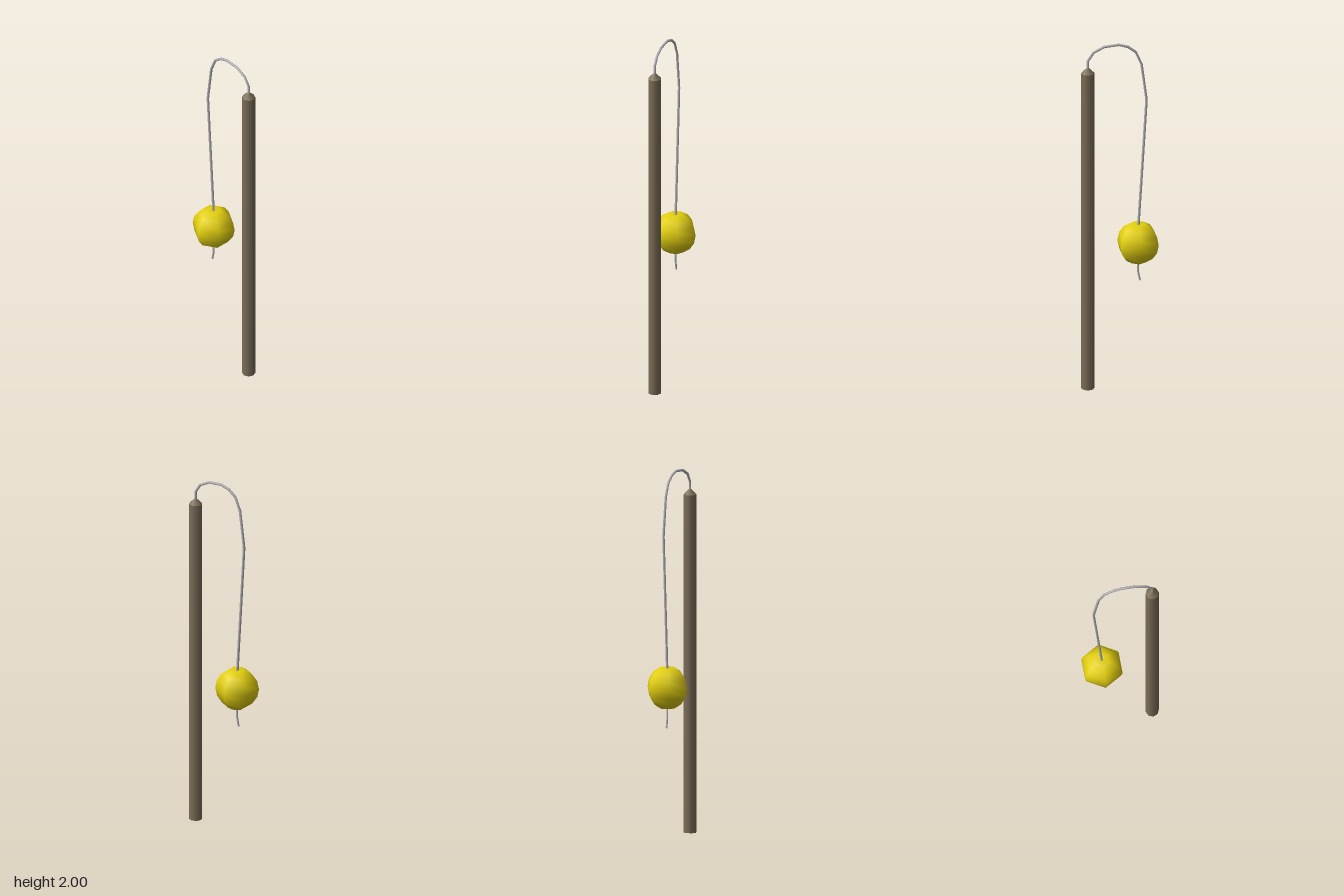
import * as THREE from 'three';

const material = (name, color) => new THREE.MeshStandardMaterial({ name, color });

// Curve through points with straight spans, one tube ring per point
class Polyline extends THREE.Curve {
  constructor(points) {
    super();
    this.points = points.map(([x, y]) => new THREE.Vector3(x, y, 0));
  }
  getPoint(t, target = new THREE.Vector3()) {
    const s = t * (this.points.length - 1);
    const i = Math.min(Math.floor(s), this.points.length - 2);
    return target.lerpVectors(this.points[i], this.points[i + 1], s - i);
  }
  getUtoTmapping(u) {
    return u;
  }
}

export function createModel() {
  const model = new THREE.Group();
  model.name = 'tetherball';

  const wood = material('post brown', 0x7b6d57);
  const yellow = material('ball yellow', 0xe3d00e);
  const grey = material('rope grey', 0xb4b4b8);
  grey.side = THREE.DoubleSide;

  const add = (name, geometry, mat, x = 0, y = 0) => {
    const mesh = new THREE.Mesh(geometry, mat);
    mesh.name = name;
    mesh.position.set(x, y, 0);
    model.add(mesh);
  };

  // Eight-sided post with a pointed top
  const postX = 0.17, postR = 0.036, postH = 1.84;
  add('post', new THREE.CylinderGeometry(postR, postR, postH, 8), wood, postX, postH / 2);
  add('postTip', new THREE.CylinderGeometry(0.006, postR, 0.03, 8), wood, postX, postH + 0.015);

  // Six-sided ball with flattened, slightly dimpled poles
  const ballX = -0.104, ballY = 0.829, ballR = 0.118;
  const profile = [new THREE.Vector2(0, -0.104)];
  for (let i = -3; i <= 3; i++) {
    const a = THREE.MathUtils.degToRad(i * 23);
    profile.push(new THREE.Vector2(ballR * Math.cos(a), ballR * Math.sin(a)));
  }
  profile.push(new THREE.Vector2(0, 0.104));
  add('ball', new THREE.LatheGeometry(profile, 6), yellow, ballX, ballY);

  // Rope from the post tip over the arch and down to the ball
  const rope = [
    [0.17, 1.85], [0.17, 1.91], [0.14, 1.957], [0.08, 1.987], [0.0, 1.993], [-0.05, 1.977],
    [-0.092, 1.943], [-0.123, 1.87], [-0.15, 1.66], [-0.105, 0.92],
  ];
  add('rope', new THREE.TubeGeometry(new Polyline(rope), rope.length - 1, 0.0072, 6), grey);

  // Loose rope end below the ball
  const tail = [[-0.104, 0.73], [-0.104, 0.66], [-0.114, 0.61]];
  add('ropeEnd', new THREE.TubeGeometry(new Polyline(tail), 2, 0.0055, 6), grey);

  return model;
}
